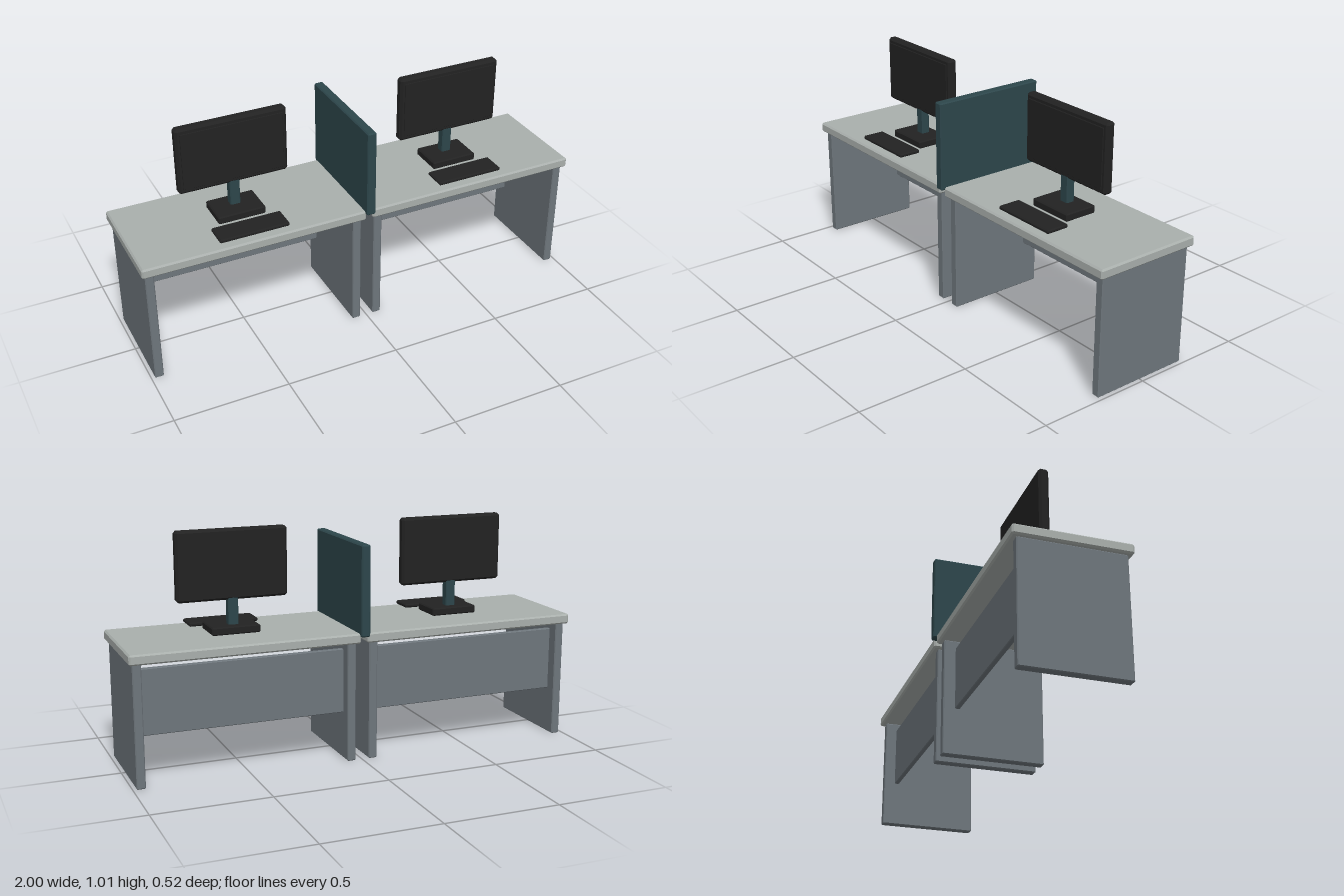
import * as THREE from 'three';
import { ConvexGeometry } from 'three/addons/geometries/ConvexGeometry.js';

const material = (name, color) => {
  const m = new THREE.MeshStandardMaterial({ color });
  m.name = name;
  return m;
};

// Box given by its min/max extents, with every edge chamfered by c
function chamferBox(name, mat, [x0, x1], [y0, y1], [z0, z1], c) {
  const h = [(x1 - x0) / 2, (y1 - y0) / 2, (z1 - z0) / 2];
  const points = [];
  for (const sx of [-1, 1]) for (const sy of [-1, 1]) for (const sz of [-1, 1]) {
    const s = [sx, sy, sz];
    for (let axis = 0; axis < 3; axis++) {
      points.push(new THREE.Vector3(...s.map((v, i) => v * (h[i] - (i === axis ? 0 : c)))));
    }
  }
  const mesh = new THREE.Mesh(new ConvexGeometry(points), mat);
  mesh.position.set((x0 + x1) / 2, (y0 + y1) / 2, (z0 + z1) / 2);
  mesh.name = name;
  return mesh;
}

export function createModel() {
  const top = material('pale grey laminate', 0xa9afac);
  const frame = material('slate grey panel', 0x6e767c);
  const teal = material('dark teal', 0x2d464b);
  const black = material('black plastic', 0x222222);

  const model = new THREE.Group();
  model.name = 'doubleWorkstation';

  // One desk with its equipment per side, each centred on its own x = 0
  for (const side of [-1, 1]) {
    const desk = new THREE.Group();
    desk.name = side < 0 ? 'rightDesk' : 'leftDesk';
    desk.position.x = side * 0.5075;

    desk.add(
      chamferBox('deskTop', top, [-0.4925, 0.4925], [0.523, 0.567], [-0.244, 0.244], 0.007),
      chamferBox('modestyPanel', frame, [-0.442, 0.442], [0.21, 0.49], [-0.172, -0.15], 0.003),
    );
    // Slab legs at both ends
    for (const s of [-1, 1]) {
      desk.add(chamferBox('sideLeg', frame, [s * 0.458 - 0.019, s * 0.458 + 0.019],
        [0.004, 0.523], [-0.223, 0.223], 0.004));
    }

    // Monitor on its stand
    const monitor = new THREE.Group();
    monitor.name = 'monitor';
    monitor.add(
      chamferBox('monitorBase', black, [-0.105, 0.105], [0.572, 0.606], [-0.075, 0.077], 0.005),
      chamferBox('monitorNeck', teal, [-0.022, 0.022], [0.6, 0.74], [-0.036, 0.004], 0.004),
      chamferBox('monitorCase', black, [-0.241, 0.241], [0.712, 1.01], [-0.038, 0.006], 0.01),
      chamferBox('screen', black, [-0.222, 0.222], [0.735, 0.988], [0.003, 0.01], 0.001),
    );
    desk.add(monitor);

    // Keyboard in front of the monitor
    desk.add(chamferBox('keyboard', black, [-0.153, 0.153], [0.576, 0.593], [0.111, 0.216], 0.005));
    model.add(desk);
  }

  // Privacy screen between the two desks
  model.add(chamferBox('divider', teal, [-0.02, 0.02], [0.553, 0.943], [-0.259, 0.259], 0.005));
  return model;
}
